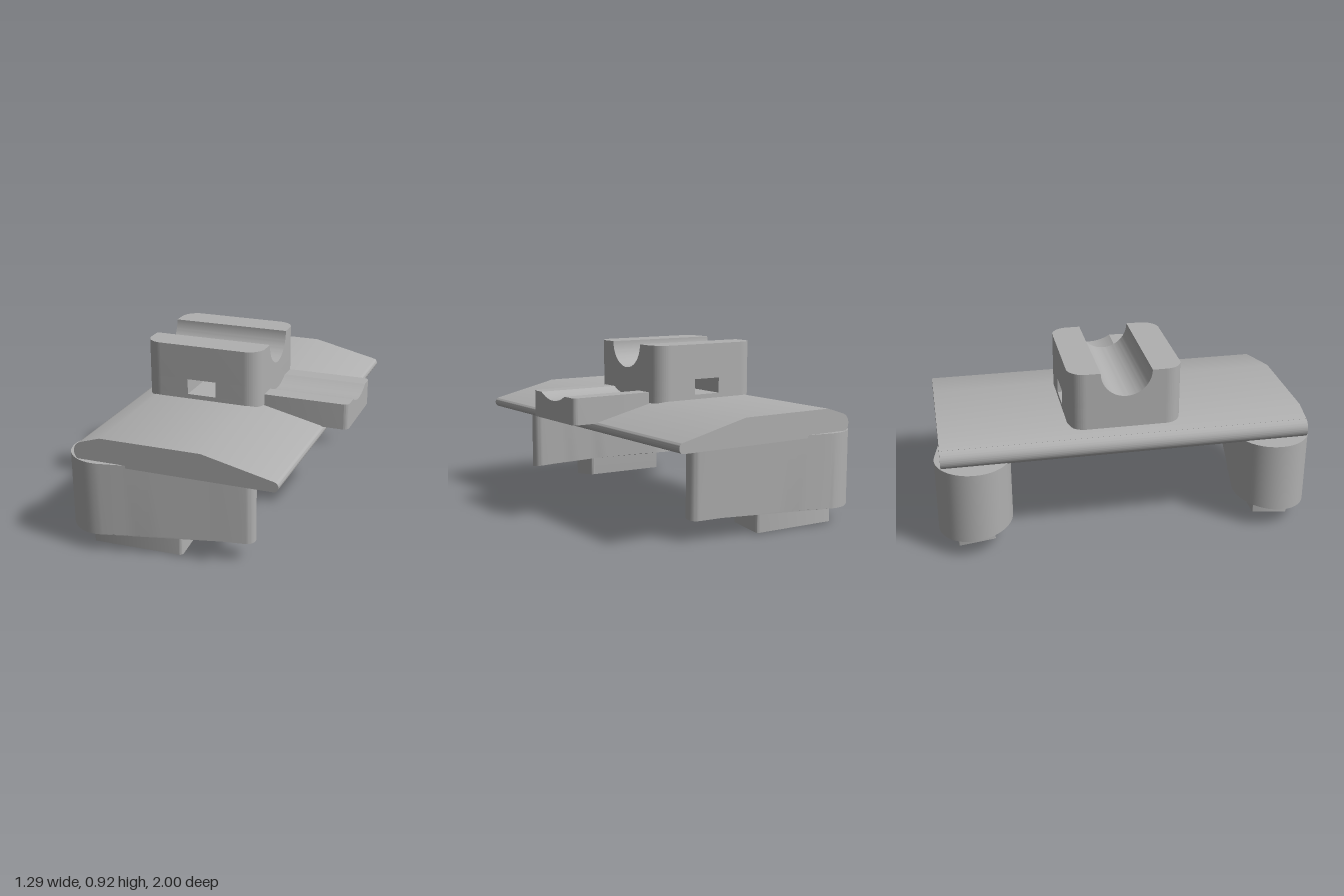
import * as THREE from 'three';
import { toCreasedNormals } from 'three/addons/utils/BufferGeometryUtils.js';

const grey = new THREE.MeshStandardMaterial({ color: 0xb0b0b0 });
grey.name = 'plain grey';

const extrude = (shape, depth) =>
  new THREE.ExtrudeGeometry(shape, { depth, bevelEnabled: false, curveSegments: 24 });

// Plan outline (x, -z) raised from y0 to y1
const raise = (shape, y0, y1) => extrude(shape, y1 - y0).rotateX(-Math.PI / 2).translate(0, y0, 0);

// Cross-section (z, y) swept from x0 to x1
const sweepX = (shape, x0, x1) => extrude(shape, x1 - x0).rotateY(Math.PI / 2).translate(x0, 0, 0);

function add(parent, name, geometry) {
  const mesh = new THREE.Mesh(toCreasedNormals(geometry, 0.5), grey);
  mesh.name = name;
  parent.add(mesh);
  return mesh;
}

// Rectangle with its own radius per corner: [x0y0, x1y0, x1y1, x0y1]
function roundRect(x0, x1, y0, y1, [a, b, c, d]) {
  const s = new THREE.Shape();
  s.moveTo(x0 + a, y0);
  s.lineTo(x1 - b, y0);
  if (b) s.absarc(x1 - b, y0 + b, b, -Math.PI / 2, 0, false);
  s.lineTo(x1, y1 - c);
  if (c) s.absarc(x1 - c, y1 - c, c, 0, Math.PI / 2, false);
  s.lineTo(x0 + d, y1);
  if (d) s.absarc(x0 + d, y1 - d, d, Math.PI / 2, Math.PI, false);
  s.lineTo(x0, y0 + a);
  if (a) s.absarc(x0 + a, y0 + a, a, Math.PI, Math.PI * 1.5, false);
  return s;
}

// Block cross-section with a round trough of given half width and depth in its top
function trough(half, y0, y1, w, depth) {
  const r = (w * w + depth * depth) / (2 * depth);
  const t = Math.asin(Math.min(1, w / r));
  const s = new THREE.Shape();
  s.moveTo(-half, y0);
  s.lineTo(half, y0);
  s.lineTo(half, y1);
  s.lineTo(w, y1);
  s.absarc(0, y1 - depth + r, r, -Math.PI / 2 + t, -Math.PI / 2 - t, true);
  s.lineTo(-half, y1);
  return s;
}

// Bends the underside of a raised plan into a slightly domed, outward-tilted surface
function bendBottom(geometry, base) {
  const p = geometry.attributes.position;
  for (let i = 0; i < p.count; i++) {
    if (p.getY(i) > 0.3) continue;
    const x = p.getX(i), z = p.getZ(i);
    p.setY(i, base - 0.115 * (z - 0.805) - 0.069 * (x + 0.15) ** 2);
  }
  return geometry;
}

// Tapered plan: a large circle behind, a small one in front, joined by tangents
function teardrop(x0, r0, x1, r1, z) {
  const a = Math.acos((r0 - r1) / (x1 - x0));
  const pts = [];
  const arc = (cx, r, from, to, n) => {
    for (let i = 0; i <= n; i++) {
      const t = from + (to - from) * i / n;
      pts.push(new THREE.Vector2(cx + r * Math.cos(t), r * Math.sin(t) - z));
    }
  };
  const line = () => {
    const from = pts[pts.length - 1].clone();
    const up = from.y > -z ? 1 : -1;
    const back = up > 0;
    const cx = back ? x0 : x1, r = back ? r0 : r1;
    const to = new THREE.Vector2(cx + r * Math.cos(a), up * r * Math.sin(a) - z);
    for (let i = 1; i < 12; i++) pts.push(from.clone().lerp(to, i / 12));
  };
  arc(x1, r1, -a, a, 16);
  line();
  arc(x0, r0, a, 2 * Math.PI - a, 40);
  line();
  return new THREE.Shape(pts);
}

export function createModel() {
  const model = new THREE.Group();
  model.name = 'model';

  // Wide deck: one profile along the full width
  const deck = new THREE.Shape();
  deck.moveTo(-0.513, 0.48);
  deck.lineTo(0.488, 0.48);
  deck.absarc(0.488, 0.507, 0.027, -Math.PI / 2, 1.32, false);
  deck.lineTo(0.12, 0.62);
  deck.lineTo(-0.42, 0.62);
  deck.lineTo(-0.528, 0.586);
  deck.absarc(-0.511, 0.534, 0.054, 1.88, Math.PI * 1.5, false);
  add(model, 'deck', extrude(deck, 1.94).translate(0, 0, -0.97));

  // Saddle block with a cross slot and a trough along its top
  const saddle = new THREE.Group();
  saddle.name = 'saddle';
  model.add(saddle);
  const r = 0.09;
  add(saddle, 'saddleBase', raise(roundRect(-0.48, 0.18, -0.3, 0.3, [r, r, r, r]), 0.61, 0.645));
  add(saddle, 'saddleSlotBack', raise(roundRect(-0.48, -0.232, -0.3, 0.3, [r, 0, 0, r]), 0.645, 0.73));
  add(saddle, 'saddleSlotFront', raise(roundRect(-0.07, 0.18, -0.3, 0.3, [0, r, r, 0]), 0.645, 0.73));
  add(saddle, 'saddleTrough', sweepX(trough(0.16, 0.73, 0.92, 0.135, 0.135), -0.48, 0.18));
  add(saddle, 'saddleRailRight', raise(roundRect(-0.48, 0.18, 0.16, 0.3, [0, 0, r, r]), 0.73, 0.92));
  add(saddle, 'saddleRailLeft', raise(roundRect(-0.48, 0.18, -0.3, -0.16, [r, r, 0, 0]), 0.73, 0.92));

  // Shallow tray reaching forward from the saddle
  const tray = new THREE.Group();
  tray.name = 'tray';
  model.add(tray);
  add(tray, 'trayTrough', sweepX(trough(0.19, 0.527, 0.668, 0.125, 0.035), 0.12, 0.645));
  add(tray, 'trayEdgeRight', raise(roundRect(0.12, 0.645, 0.19, 0.22, [0, 0, 0.03, 0]), 0.527, 0.668));
  add(tray, 'trayEdgeLeft', raise(roundRect(0.12, 0.645, -0.22, -0.19, [0, 0.03, 0, 0]), 0.527, 0.668));

  // Tapered legs with small feet, the right pair turned from the left geometry
  for (const side of [1, -1]) {
    const leg = new THREE.Group();
    leg.name = side > 0 ? 'leftLeg' : 'rightLeg';
    model.add(leg);
    const pod = bendBottom(raise(teardrop(-0.453, 0.196, 0.297, 0.048, 0.804), 0.1, 0.495), 0.129);
    const foot = bendBottom(
      raise(roundRect(-0.51, -0.015, -0.905, -0.71, [0.004, 0.02, 0.02, 0.004]), 0, 0.4), 0.0235);
    for (const [name, geometry] of [['pod', pod], ['foot', foot]]) {
      if (side < 0) mirrorZ(geometry);
      add(leg, name, geometry);
    }
  }
  return model;
}

// Reflects a non-indexed geometry in z and restores the winding
function mirrorZ(geometry) {
  geometry.scale(1, 1, -1);
  const p = geometry.attributes.position;
  const a = new THREE.Vector3(), b = new THREE.Vector3();
  for (let i = 0; i < p.count; i += 3) {
    a.fromBufferAttribute(p, i + 1);
    b.fromBufferAttribute(p, i + 2);
    p.setXYZ(i + 1, b.x, b.y, b.z);
    p.setXYZ(i + 2, a.x, a.y, a.z);
  }
}
